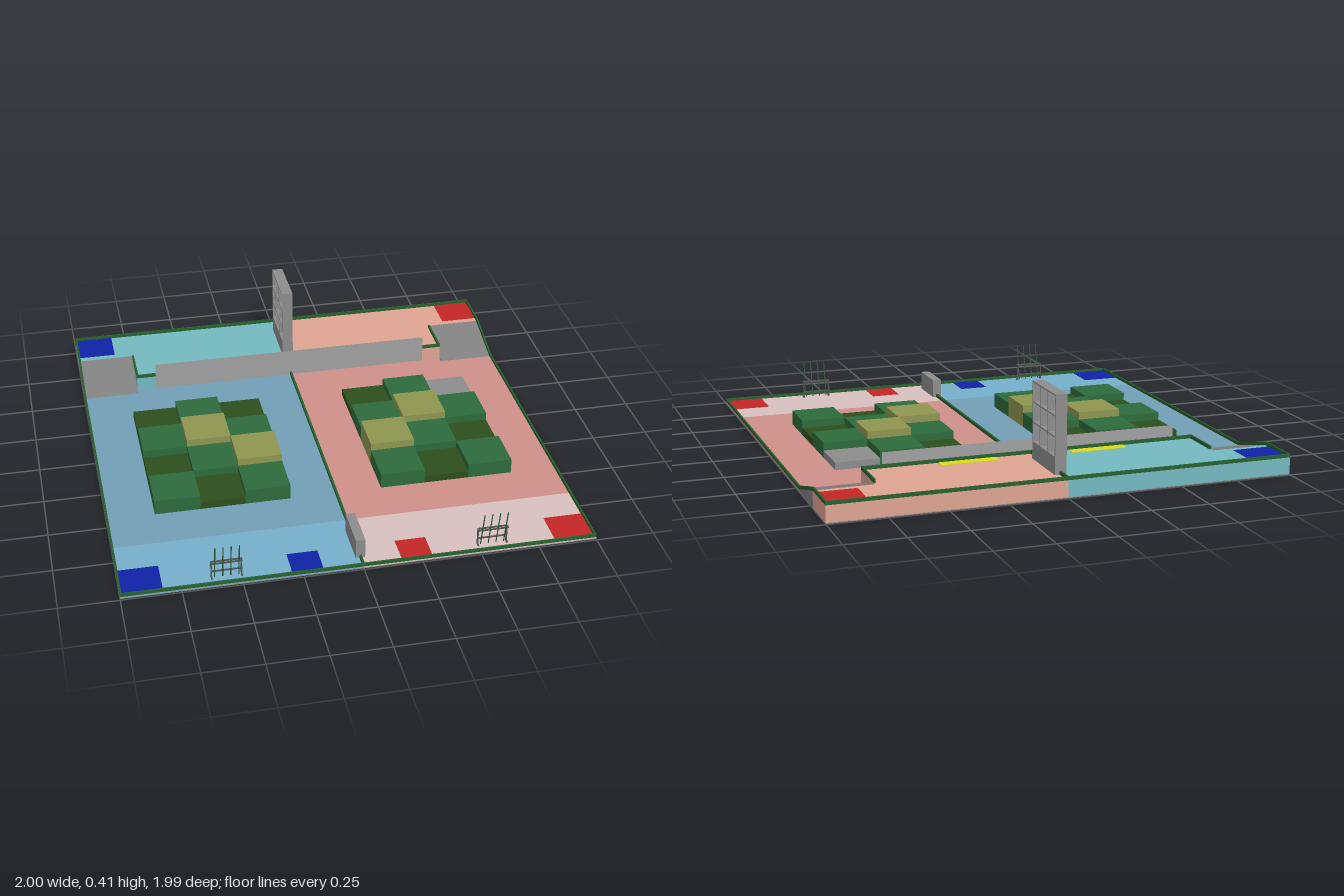
import * as THREE from 'three';

const GREEN = 0x28602e, GREY = 0x8c8c8c, RED = 0xc42626, BLUE = 0x1022a6, YELLOW = 0xdada12;
const BLOCKS = {
  D: { color: 0x2d4f1c, top: 0.043 },
  M: { color: 0x2d6a3c, top: 0.077 },
  L: { color: 0x8e9650, top: 0.11 },
  G: { color: 0x8c8c8c, top: 0.043 },
};
const END = 0.993, FLOOR = 0.01, DECK = 0.075, RAMP_X = 0.745, WALL_Z = -0.575, RAMP_FRONT = -0.545, RAMP_BACK = -0.79;

const materials = new Map();
function mat(color) {
  if (!materials.has(color)) materials.set(color, new THREE.MeshStandardMaterial({ color, flatShading: true }));
  return materials.get(color);
}

export function createModel() {
  const model = new THREE.Group();

  // Box given by its limits on each axis
  function box(name, color, x0, x1, y0, y1, z0, z1, parent = model) {
    const mesh = new THREE.Mesh(
      new THREE.BoxGeometry(Math.abs(x1 - x0), y1 - y0, z1 - z0), mat(color));
    mesh.position.set((x0 + x1) / 2, (y0 + y1) / 2, (z0 + z1) / 2);
    mesh.name = name;
    parent.add(mesh);
    return mesh;
  }

  // Side profile in (z, y) extruded across x0..x1
  function profile(name, color, points, x0, x1) {
    const shape = new THREE.Shape(points.map(([z, y]) => new THREE.Vector2(-z, y)));
    const geometry = new THREE.ExtrudeGeometry(shape, { depth: x1 - x0, bevelEnabled: false });
    geometry.rotateY(Math.PI / 2).translate(x0, 0, 0);
    const mesh = new THREE.Mesh(geometry, mat(color));
    mesh.name = name;
    model.add(mesh);
  }

  // Straight round rod between two points
  function rod(name, color, a, b, radius, parent) {
    const from = new THREE.Vector3(...a), to = new THREE.Vector3(...b);
    const mesh = new THREE.Mesh(new THREE.CylinderGeometry(radius, radius, from.distanceTo(to), 8), mat(color));
    mesh.position.copy(from).lerp(to, 0.5);
    mesh.quaternion.setFromUnitVectors(new THREE.Vector3(0, 1, 0), to.sub(from).normalize());
    mesh.name = name;
    parent.add(mesh);
  }

  box('basePlate', GREY, -1, 1, 0, 0.004, -END, END);

  const halves = [
    {
      s: -1, front: 0x75aec9, middle: 0x719fb6, back: 0x73b9bf, mark: BLUE,
      forest: ['DMD', 'MLM', 'DML', 'MDM'], // rows from the back, columns from the outside
    },
    {
      s: 1, front: 0xd8c0c0, middle: 0xcd9088, back: 0xdfa492, mark: RED,
      forest: ['GMD', 'MLM', 'DML', 'MDM'],
    },
  ];

  for (const { s, front, middle, back, mark, forest } of halves) {
    // Floor zones and raised deck
    box('frontFloor', front, 0, s, 0.004, FLOOR, 0.66, END);
    box('middleFloor', middle, 0, s, 0.004, FLOOR, WALL_Z, 0.66);
    box('deckBack', back, 0, s, 0.004, DECK, -END, RAMP_BACK);
    box('deckFront', back, 0, s * RAMP_X, 0.004, DECK, RAMP_BACK, WALL_Z);

    // Ramp beside the deck
    profile('ramp', 0x808080,
      [[RAMP_FRONT, 0.004], [RAMP_FRONT, FLOOR], [RAMP_BACK, DECK], [RAMP_BACK, 0.004]],
      s > 0 ? RAMP_X : -1, s > 0 ? 1 : -RAMP_X);

    // Side fence following floor, ramp and deck
    profile('sideFence', GREEN, [
      [END, 0.008], [END, 0.024], [RAMP_FRONT, 0.024], [RAMP_BACK, 0.09], [-END, 0.09],
      [-END, DECK], [RAMP_BACK, DECK], [RAMP_FRONT, 0.008],
    ], s > 0 ? 0.992 : -1, s > 0 ? 1 : -0.992);
    box('rampFence', GREEN, s * (RAMP_X - 0.008), s * RAMP_X, DECK, 0.09, -0.77, WALL_Z);

    // Coloured floor marks
    box('backCornerMark', mark, s * 0.825, s * 0.992, DECK, DECK + 0.002, -0.985, -0.82);
    box('frontCornerMark', mark, s * 0.825, s * 0.992, FLOOR, FLOOR + 0.002, 0.82, 0.985);
    box('frontInnerMark', mark, s * 0.165, s * 0.295, FLOOR, FLOOR + 0.002, 0.85, 0.985);
    box('deckMark', YELLOW, s * 0.165, s * 0.415, DECK, DECK + 0.002, -0.628, -0.58);

    // Stepped blocks, three by four
    const blocks = new THREE.Group();
    blocks.name = 'blockField';
    model.add(blocks);
    const size = 0.197;
    forest.forEach((row, r) => [...row].forEach((key, c) => {
      const outer = 0.792 - c * size, z = -0.332 + r * size;
      box('block', BLOCKS[key].color, s * outer, s * (outer - size), FLOOR, BLOCKS[key].top, z, z + size, blocks);
    }));

    // Rod stand at the front edge
    const stand = new THREE.Group();
    stand.name = 'rodStand';
    stand.position.x = s * 0.56;
    model.add(stand);
    for (const x of [-0.062, 0.062]) {
      box('standPost', 0x555555, x - 0.003, x + 0.003, FLOOR, 0.09, 0.935, 0.941, stand);
      box('standFoot', 0x555555, x - 0.003, x + 0.003, FLOOR, 0.016, 0.935, 0.955, stand);
      box('standArm', 0x555555, x - 0.003, x + 0.003, 0.084, 0.09, 0.935, 0.955, stand);
    }
    for (const [y, z] of [[0.084, 0.935], [0.084, 0.95], [0.036, 0.935]])
      box('standRail', 0x555555, -0.065, 0.065, y, y + 0.006, z, z + 0.005, stand);
    for (let i = 0; i < 4; i++) {
      const x = -0.05 + i * 0.0333;
      rod('leaningRod', 0x2f5a36, [x, 0.014, 0.943], [x, 0.183, 0.98], 0.0025, stand);
    }
  }

  // Cross fences and centre divider
  box('frontFence', GREEN, -1, 1, 0.008, 0.024, END - 0.008, END);
  box('backFence', GREEN, -1, 1, DECK, 0.09, -END, -END + 0.008);
  box('deckEdgeFence', GREEN, -RAMP_X, RAMP_X, DECK, 0.09, WALL_Z - 0.008, WALL_Z);
  box('lowDivider', GREEN, -0.005, 0.005, FLOOR, 0.024, WALL_Z, END);
  box('deckDivider', GREEN, -0.005, 0.005, DECK, 0.09, -END, WALL_Z);

  // Thin upright panel along the deck edge
  const panel = new THREE.Mesh(new THREE.PlaneGeometry(1.31, 0.13),
    new THREE.MeshStandardMaterial({ color: 0xa0a0a0, side: THREE.DoubleSide }));
  panel.position.set(0, 0.075, WALL_Z + 0.002);
  panel.name = 'deckPanel';
  model.add(panel);

  // Box on the front divider
  box('frontBox', GREY, -0.02, 0.02, FLOOR, 0.095, 0.735, 0.93);

  // Open three by three shelf on its plinth
  const shelf = new THREE.Group();
  shelf.name = 'gridShelf';
  model.add(shelf);
  box('shelfPlinth', GREY, -0.025, 0.025, DECK, 0.145, -0.91, -0.65, shelf);
  const t = 0.006;
  for (let i = 0; i < 4; i++) {
    const z = -0.91 + i * (0.26 - t) / 3, y = 0.145 + i * (0.265 - t) / 3;
    box('shelfUpright', GREY, -0.025, 0.025, 0.145, 0.41, z, z + t, shelf);
    box('shelfBoard', GREY, -0.025, 0.025, y, y + t, -0.91, -0.65, shelf);
  }

  return model;
}
